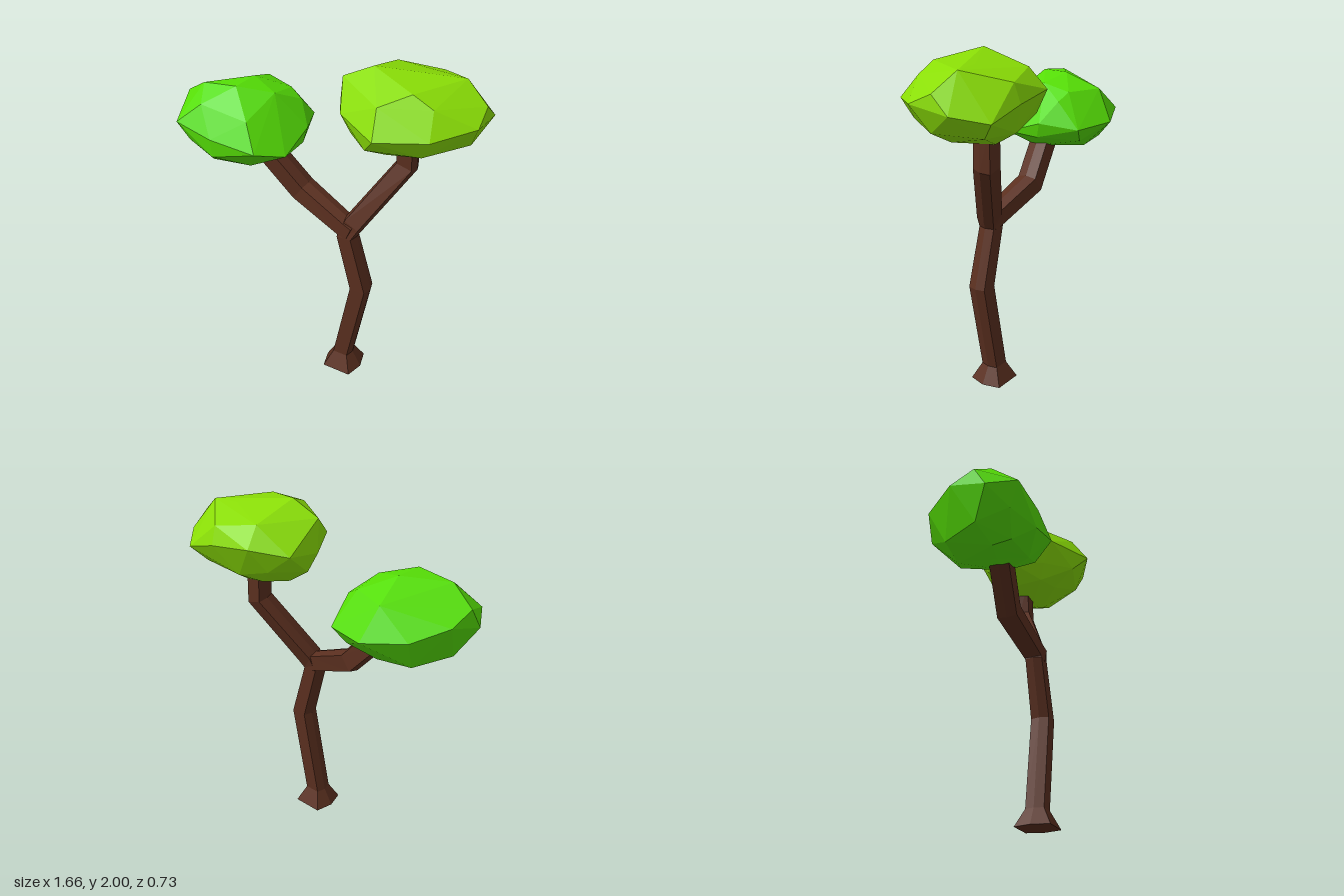
import * as THREE from 'three';
import { ConvexGeometry } from 'three/addons/geometries/ConvexGeometry.js';

// Six-sided section: broad front and back faces, pointed left and right
const SECTION = [[1, 0], [0.76, -0.9], [-0.76, -0.9], [-1, 0], [-0.76, 0.9], [0.76, 0.9]];
const SIDES = SECTION.length;

// Limb through stations [x, y, z, radius, level], mitred at the bends and capped.
function limbGeometry(stations) {
  const pts = stations.map(([x, y, z]) => new THREE.Vector3(x, y, z));
  const pos = [], index = [];
  const last = pts.length - 1;
  stations.forEach(([, , , r, level], i) => {
    const c = pts[i], t = new THREE.Vector3();
    if (i > 0) t.add(c.clone().sub(pts[i - 1]).normalize());
    if (i < last) t.add(pts[i + 1].clone().sub(c).normalize());
    if (level) t.set(0, 1, 0);
    t.normalize();
    const u = new THREE.Vector3(0, 0, 1).addScaledVector(t, -t.z).normalize();
    const v = new THREE.Vector3().crossVectors(t, u);
    for (const [a, b] of SECTION) {
      const p = c.clone().addScaledVector(v, r * a).addScaledVector(u, r * b);
      pos.push(p.x, p.y, p.z);
    }
  });
  for (let i = 0; i < last; i++) {
    for (let j = 0; j < SIDES; j++) {
      const a = i * SIDES + j, b = i * SIDES + (j + 1) % SIDES;
      index.push(a, b, b + SIDES, a, b + SIDES, a + SIDES);
    }
  }
  const top = last * SIDES;
  for (let j = 1; j < SIDES - 1; j++) {
    index.push(0, j + 1, j, top, top + j, top + j + 1);
  }
  const g = new THREE.BufferGeometry();
  g.setAttribute('position', new THREE.Float32BufferAttribute(pos, 3));
  g.setIndex(index);
  const flat = g.toNonIndexed();
  flat.computeVertexNormals();
  return flat;
}

// Faceted foliage clump wrapped around its corner points.
function clumpGeometry(corners) {
  return new ConvexGeometry(corners.map(([x, y, z]) => new THREE.Vector3(x, y, z)));
}

export function createModel() {
  const tree = new THREE.Group();
  tree.name = 'tree';
  const material = (color) => new THREE.MeshStandardMaterial({ color, flatShading: true });
  const bark = material(0x5a2f1f);

  const add = (name, geometry, mat) => {
    const mesh = new THREE.Mesh(geometry, mat);
    mesh.name = name;
    tree.add(mesh);
  };

  // Trunk with a flared foot, continuing into the taller branch
  add('trunk', limbGeometry([
    [0.157, 0, 0.08, 0.115, true],
    [0.157, 0.1, 0.08, 0.06, true],
    [0.262, 0.645, 0.08, 0.06, true],
    [0.168, 0.985, 0.08, 0.056, true],
    [0.2, 1.06, 0.065, 0.06],
    [0.425, 1.42, -0.1, 0.06],
    [0.42, 1.64, -0.1, 0.056],
  ]), bark);

  // Lower side branch
  add('sideBranch', limbGeometry([
    [0.2, 1.015, 0.08, 0.058],
    [0.15, 1.035, 0.075, 0.058],
    [-0.145, 1.165, 0.037, 0.066],
    [-0.37, 1.42, 0.077, 0.064],
  ]), bark);

  // Upper foliage clump: crown, widest band, underside
  add('upperFoliage', clumpGeometry([
    [0.27, 2.0, 0.03], [0.53, 1.955, 0.14], [0.54, 1.96, -0.13], [0.69, 1.955, -0.15],
    [0.4, 1.905, 0.255], [0.64, 1.9, 0.14], [0.27, 1.925, -0.25], [0.11, 1.92, 0.05],
    [0.5, 1.89, -0.33], [0.245, 1.82, -0.345], [0.495, 1.79, -0.365], [0.7, 1.73, -0.35],
    [0.83, 1.77, -0.205], [0.83, 1.8, 0.035], [0.67, 1.78, 0.24], [0.425, 1.77, 0.348],
    [0.175, 1.79, 0.195], [0.07, 1.75, 0.0], [0.08, 1.78, -0.205], [0.82, 1.86, -0.1],
    [0.775, 1.66, -0.05], [0.61, 1.58, -0.03], [0.44, 1.555, -0.03], [0.235, 1.56, -0.05],
    [0.1, 1.65, -0.05], [0.35, 1.67, 0.27], [0.62, 1.67, 0.2], [0.4, 1.59, 0.13],
    [0.25, 1.575, 0.09], [0.44, 1.555, -0.17], [0.32, 1.57, -0.17], [0.4, 1.62, -0.27],
    [0.65, 1.64, -0.27], [0.2, 1.68, -0.25], [0.2, 1.66, 0.13],
  ]), material(0x8ade06));

  // Lower foliage clump
  add('lowerFoliage', clumpGeometry([
    [-0.47, 1.77, 0.16], [-0.46, 1.77, 0.0], [-0.68, 1.745, 0.16], [-0.3, 1.725, 0.05],
    [-0.3, 1.69, -0.12], [-0.5, 1.69, -0.2], [-0.225, 1.645, -0.1], [-0.34, 1.64, 0.27],
    [-0.62, 1.68, 0.28], [-0.46, 1.515, -0.305], [-0.225, 1.5, -0.235], [-0.145, 1.525, -0.025],
    [-0.15, 1.45, 0.2], [-0.255, 1.5, 0.34], [-0.52, 1.53, 0.36], [-0.75, 1.57, 0.34],
    [-0.835, 1.535, 0.19], [-0.805, 1.6, -0.025], [-0.685, 1.55, -0.21], [-0.82, 1.655, 0.12],
    [-0.62, 1.305, 0.14], [-0.46, 1.32, 0.1], [-0.28, 1.355, 0.08], [-0.75, 1.38, 0.1],
    [-0.6, 1.33, 0.24], [-0.35, 1.36, 0.24], [-0.45, 1.355, -0.14], [-0.3, 1.42, -0.2],
    [-0.65, 1.37, -0.12], [-0.16, 1.44, 0.0], [-0.72, 1.44, 0.28], [-0.52, 1.42, 0.35],
  ]), material(0x55de06));

  return tree;
}
